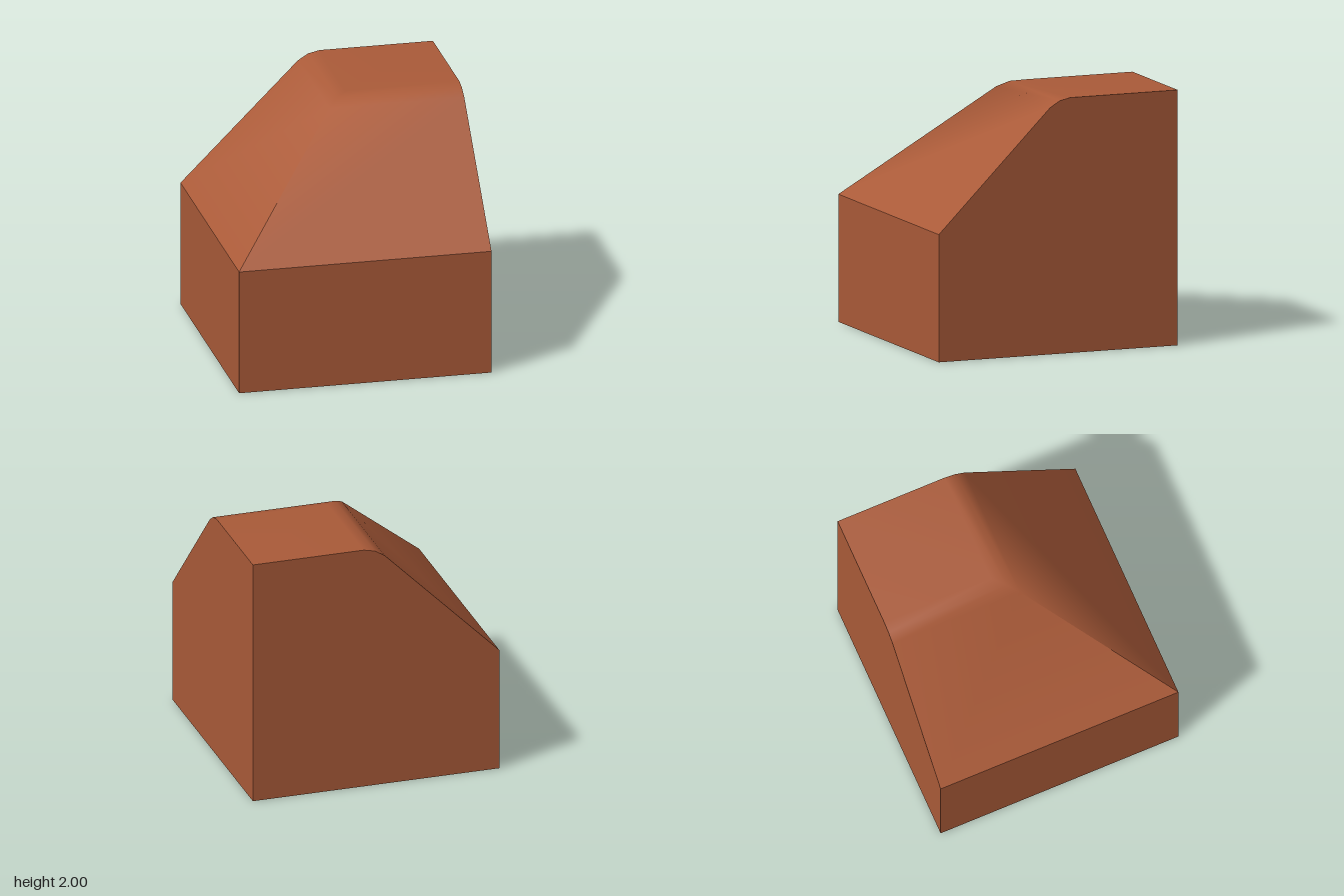
import * as THREE from 'three';

// Slope profile: [distance along the axis, height], with a softened crest
const profile = [[-1, 1], [-0.07, 1.93], [0.01, 1.98], [0.1, 2], [1, 2]];

// Two slopes meeting along a diagonal hip, rising to a flat top
function roofGeometry() {
  const pos = [], index = [], rows = [];
  const add = (x, y, z) => pos.push(x, y, z) / 3 - 1;
  profile.forEach(([s, y], i) => {
    const hip = add(s, y, -s);
    rows.push({
      right: add(1, y, -s),
      hipA: hip,
      hipB: i === 0 ? add(s, y, -s) : hip, // crisp at the low corner, softening upward
      back: add(s, y, -1),
    });
  });
  for (let i = 0; i < rows.length - 1; i++) {
    const a = rows[i], b = rows[i + 1];
    index.push(a.hipA, a.right, b.right, a.hipA, b.right, b.hipA);
    index.push(a.back, a.hipB, b.hipB, a.back, b.hipB, b.back);
  }
  const g = new THREE.BufferGeometry();
  g.setAttribute('position', new THREE.Float32BufferAttribute(pos, 3));
  g.setIndex(index);
  g.computeVertexNormals();
  return g;
}

// Full-height wall whose top edge follows the slope profile
function profileWall(mirror) {
  const pts = profile.map(([s, y]) => new THREE.Vector2(s * mirror, y));
  pts.push(new THREE.Vector2(mirror, 0), new THREE.Vector2(-mirror, 0));
  return new THREE.ShapeGeometry(new THREE.Shape(pts));
}

export function createModel() {
  const group = new THREE.Group();
  const clay = new THREE.MeshStandardMaterial({ color: 0xab5b39 });
  clay.name = 'terracotta';

  const part = (name, geometry) => {
    const mesh = new THREE.Mesh(geometry, clay);
    mesh.name = name;
    group.add(mesh);
  };

  part('slopedTop', roofGeometry());
  // Low walls under the slopes
  part('frontWall', new THREE.PlaneGeometry(2, 1).translate(0, 0.5, 1));
  part('lowSideWall', new THREE.PlaneGeometry(2, 1).rotateY(-Math.PI / 2).translate(-1, 0.5, 0));
  // Tall walls showing the profile
  part('tallSideWall', profileWall(1).rotateY(Math.PI / 2).translate(1, 0, 0));
  part('backWall', profileWall(-1).rotateY(Math.PI).translate(0, 0, -1));
  part('base', new THREE.PlaneGeometry(2, 2).rotateX(Math.PI / 2));
  return group;
}
